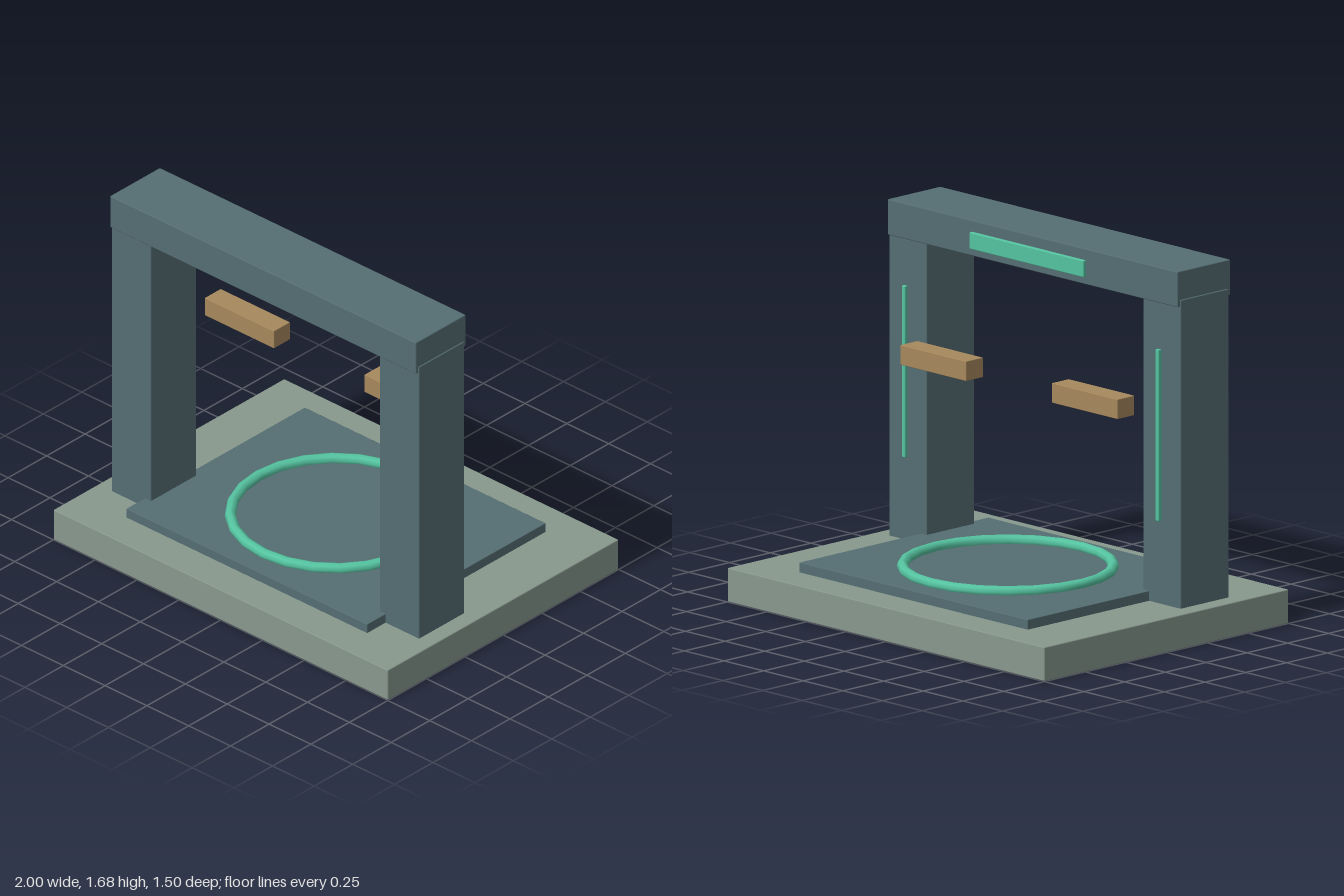
import * as THREE from 'three';
import { RoundedBoxGeometry } from 'three/addons/geometries/RoundedBoxGeometry.js';

const material = (name, color) => {
  const m = new THREE.MeshStandardMaterial({ color });
  m.name = name;
  return m;
};

export function createModel() {
  const model = new THREE.Group();
  model.name = 'gateway';
  const stone = material('grey green stone', 0x87988d);
  const slate = material('dark slate', 0x556e73);
  const glow = material('mint glow', 0x55c4a0);
  const wood = material('tan wood', 0xa6885c);

  // Softly bevelled block given by its extents on each axis
  const block = (name, mat, [x0, x1], [y0, y1], [z0, z1], bevel = 0.005) => {
    const mesh = new THREE.Mesh(new RoundedBoxGeometry(x1 - x0, y1 - y0, z1 - z0, 1, bevel), mat);
    mesh.position.set((x0 + x1) / 2, (y0 + y1) / 2, (z0 + z1) / 2);
    mesh.name = name;
    model.add(mesh);
  };

  // Base slab and raised platform
  block('base', stone, [-1, 1], [0, 0.155], [-0.75, 0.75]);
  block('platform', slate, [-0.72, 0.72], [0.15, 0.2], [-0.58, 0.58], 0.003);

  // Ring lying on the platform
  const ring = new THREE.Mesh(new THREE.TorusGeometry(0.465, 0.025, 8, 24), glow);
  ring.rotation.x = -Math.PI / 2;
  ring.position.y = 0.213;
  ring.name = 'floorRing';
  model.add(ring);

  // Columns, rear light strips and wooden arms, mirrored
  for (const [side, s] of [['left', 1], ['right', -1]]) {
    const span = (a, b) => (s > 0 ? [a, b] : [-b, -a]);
    block(side + 'Column', slate, span(0.683, 0.92), [0.15, 1.555], [0.165, 0.46]);
    block(side + 'LightStrip', glow, span(0.789, 0.811), [0.535, 1.315], [0.135, 0.155]);
    block(side + 'Arm', wood, span(0.27, 0.685), [1.0, 1.09], [0.005, 0.11], 0.003);
  }

  // Lintel across the columns with its rear light
  block('lintel', slate, [-0.915, 0.915], [1.523, 1.685], [0.15, 0.475]);
  block('lintelLight', glow, [-0.36, 0.36], [1.565, 1.642], [0.112, 0.132]);

  return model;
}
